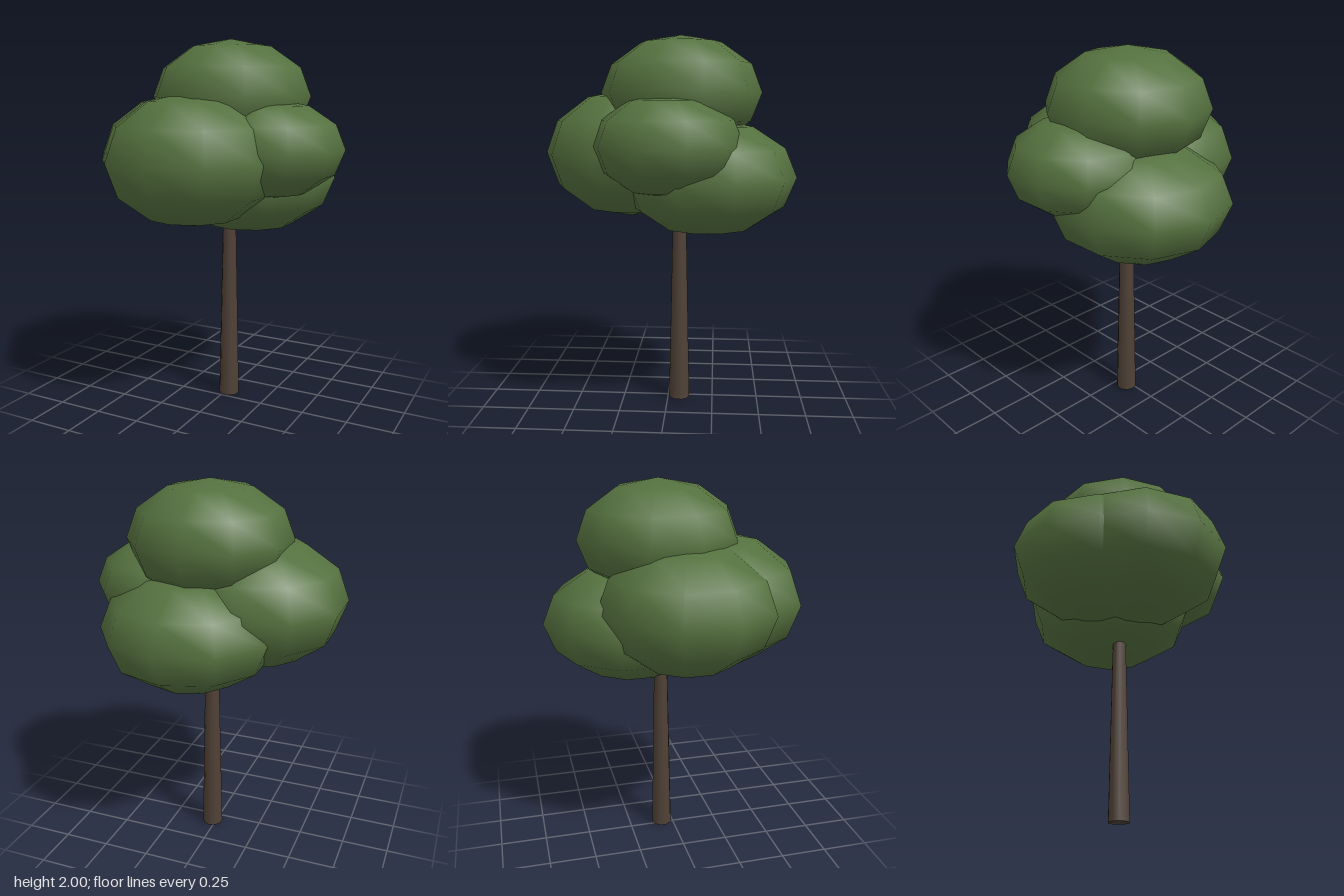
import * as THREE from 'three';

export function createModel() {
  const tree = new THREE.Group();
  tree.name = 'tree';
  const bark = new THREE.MeshStandardMaterial({ color: 0x4f4136 });
  const leaves = new THREE.MeshStandardMaterial({ color: 0x55713f });

  // Tapered trunk, running up into the crown
  const height = 1.2;
  const trunk = new THREE.Mesh(new THREE.CylinderGeometry(0.033, 0.057, height, 10), bark);
  trunk.name = 'trunk';
  trunk.position.set(0.021, height / 2, -0.063);
  tree.add(trunk);

  // Crown of flattened ten-sided balls, each with a corner facing +z
  const ball = new THREE.SphereGeometry(1, 10, 6);
  ball.rotateY(Math.PI / 2);
  const clumps = [
    // name, centre x, y, z, radius, half height
    ['topFoliage', 0.024, 1.7, -0.07, 0.43, 0.3],
    ['frontFoliage', -0.058, 1.377, 0.207, 0.476, 0.35],
    ['backFoliage', 0.075, 1.255, -0.213, 0.475, 0.31],
    ['leftFoliage', 0.286, 1.43, -0.012, 0.388, 0.26],
    ['rightFoliage', -0.214, 1.375, 0.026, 0.469, 0.34],
  ];
  for (const [name, x, y, z, radius, halfHeight] of clumps) {
    const clump = new THREE.Mesh(ball, leaves);
    clump.name = name;
    clump.position.set(x, y, z);
    clump.scale.set(radius, halfHeight, radius);
    tree.add(clump);
  }
  return tree;
}
